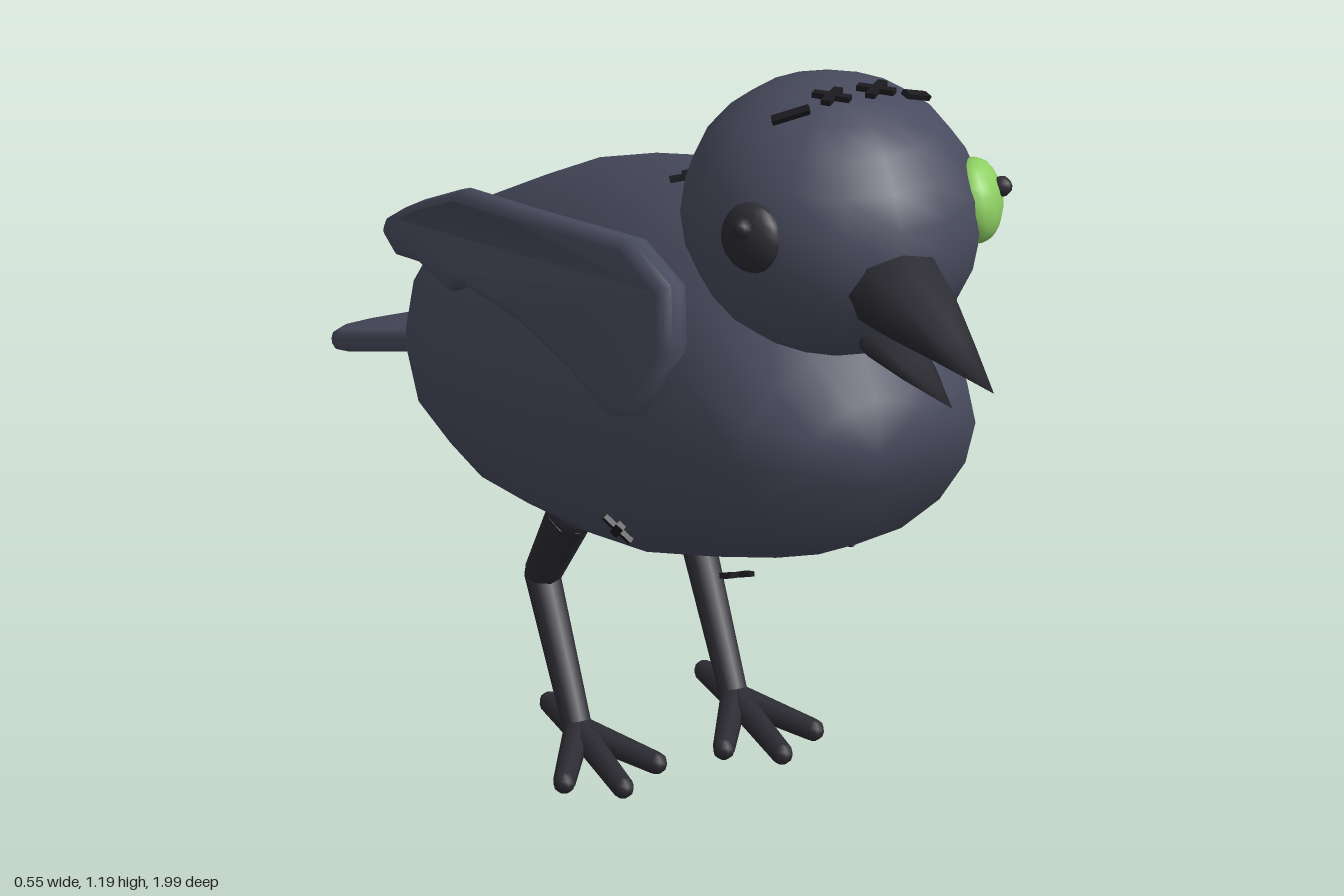
import * as THREE from 'three';
import { mergeVertices, toCreasedNormals } from 'three/addons/utils/BufferGeometryUtils.js';

const V = (x, y, z) => new THREE.Vector3(x, y, z);
const material = (name, color) => {
  const m = new THREE.MeshStandardMaterial({ color });
  m.name = name;
  return m;
};

// Closed elliptical loft from rows of [z, top, bottom, halfWidth], front to back
function loft(rows, sides) {
  const pos = [], idx = [];
  rows.forEach(([z, top, bottom, w], i) => {
    for (let j = 0; j < sides; j++) {
      const a = (j / sides) * Math.PI * 2;
      pos.push(w * Math.cos(a), (top + bottom) / 2 + ((top - bottom) / 2) * Math.sin(a), z);
      if (i === rows.length - 1) continue;
      const p = i * sides + j, q = i * sides + ((j + 1) % sides);
      idx.push(p, p + sides, q, q, p + sides, q + sides);
    }
  });
  let g = new THREE.BufferGeometry();
  g.setAttribute('position', new THREE.Float32BufferAttribute(pos, 3));
  g.setIndex(idx);
  g = mergeVertices(g);
  g.computeVertexNormals();
  return g;
}

// Softly bevelled plate from an outline
function plate(points, depth, bevel) {
  const shape = new THREE.Shape(points.map(([x, y]) => new THREE.Vector2(x, y)));
  const g = new THREE.ExtrudeGeometry(shape, {
    depth, bevelEnabled: true, bevelThickness: bevel, bevelSize: bevel, bevelOffset: -bevel, bevelSegments: 2,
  });
  return g.translate(0, 0, -depth / 2);
}

export function createModel() {
  const bird = new THREE.Group();
  bird.name = 'bird';
  const feather = material('slate feathers', 0x494c5f);
  const dark = material('charcoal', 0x2c2c33);
  const green = material('green button', 0x8ed062);
  const thread = material('black thread', 0x1b1b20);

  function add(name, geometry, mat, parent = bird) {
    const mesh = new THREE.Mesh(geometry, mat);
    mesh.name = name;
    parent.add(mesh);
    return mesh;
  }

  // Rounded limb between two points
  function limb(name, a, b, r0, r1, parent) {
    const dir = b.clone().sub(a);
    const mesh = add(name, new THREE.CylinderGeometry(r1, r0, dir.length(), 8), dark, parent);
    mesh.position.copy(a).add(b).multiplyScalar(0.5);
    mesh.quaternion.setFromUnitVectors(V(0, 1, 0), dir.normalize());
    const cap = add(name + 'End', new THREE.SphereGeometry(r1, 8, 6), dark, parent);
    cap.position.copy(b);
  }

  // Body and head
  add('body', loft([
    [0.70, 0.74, 0.74, 0], [0.69, 0.81, 0.69, 0.09], [0.64, 0.87, 0.59, 0.165], [0.53, 0.93, 0.525, 0.205],
    [0.40, 0.965, 0.46, 0.23], [0.20, 0.945, 0.375, 0.263], [0, 0.89, 0.315, 0.275],
    [-0.20, 0.81, 0.27, 0.262], [-0.40, 0.71, 0.242, 0.222], [-0.52, 0.64, 0.262, 0.178],
    [-0.585, 0.585, 0.31, 0.135], [-0.615, 0.53, 0.38, 0.08], [-0.62, 0.46, 0.46, 0],
  ], 16), feather);
  const head = add('head', new THREE.SphereGeometry(1, 16, 12), feather);
  head.scale.set(0.187, 0.175, 0.203);
  head.position.set(0, 1.013, 0.553);

  // Open beak
  add('upperBeak', loft([
    [1, 0.952, 0.952, 0], [0.9, 0.985, 0.945, 0.027], [0.8, 1.02, 0.935, 0.053],
    [0.73, 1.038, 0.93, 0.066], [0.68, 1.03, 0.94, 0.05], [0.66, 0.985, 0.985, 0],
  ], 8), dark);
  add('lowerBeak', loft([
    [0.895, 0.888, 0.888, 0], [0.8, 0.91, 0.885, 0.025], [0.72, 0.924, 0.884, 0.04], [0.64, 0.91, 0.91, 0],
  ], 8), dark);

  // Button eyes, one green and one dark
  function eye(name, side, mat, size, thick) {
    const g = new THREE.Group();
    g.name = name;
    g.lookAt(side * 0.8, 0.12, 0.48);
    g.position.set(side * 0.152, 1.04, 0.648);
    add('button', new THREE.SphereGeometry(1, 14, 10), mat, g).scale.set(size, size, thick);
    const pupil = add('pupil', new THREE.SphereGeometry(0.013, 8, 6), dark, g);
    pupil.position.set(0, 0.016, thick);
    bird.add(g);
  }
  eye('leftEye', 1, green, 0.054, 0.034);
  eye('rightEye', -1, dark, 0.044, 0.024);

  // Wings: outline in (-z, y), bent around the flanks
  const wingOutline = [
    [-0.48, 0.915], [-0.505, 0.83], [-0.465, 0.735], [-0.40, 0.71], [-0.30, 0.733], [-0.15, 0.745],
    [0.05, 0.72], [0.10, 0.69], [0.25, 0.67], [0.40, 0.62], [0.52, 0.603], [0.515, 0.635],
    [0.42, 0.685], [0.30, 0.745], [0.12, 0.83], [-0.10, 0.885], [-0.38, 0.943],
  ];
  for (const side of [1, -1]) {
    const g = plate(wingOutline, 0.012, 0.014).rotateY(Math.PI / 2);
    const p = g.attributes.position;
    for (let i = 0; i < p.count; i++) {
      const y = p.getY(i), z = p.getZ(i);
      const bend = 0.247 - 0.2 * z * z - 0.05 * Math.max(0, -z) + 0.15 * (0.78 - y);
      p.setX(i, p.getX(i) + side * bend);
    }
    add(side > 0 ? 'leftWing' : 'rightWing', toCreasedNormals(g, 0.95), feather);
  }

  // Paddle tail sloping down behind
  const half = [[0.12, 0], [0.135, 0.1], [0.172, 0.3], [0.168, 0.35], [0.13, 0.425], [0.07, 0.462]];
  const tailOutline = [...half, ...half.map(([x, y]) => [-x, y]).reverse()];
  const tail = add('tail', toCreasedNormals(plate(tailOutline, 0.008, 0.013), 0.95), feather);
  tail.rotation.x = -Math.PI / 2 - 0.36;
  tail.position.set(0, 0.4, -0.56);

  // Legs with three front toes and one back toe
  for (const side of [1, -1]) {
    const leg = new THREE.Group();
    leg.name = side > 0 ? 'leftLeg' : 'rightLeg';
    leg.position.x = side * 0.122;
    const hip = V(0, 0.36, -0.02), knee = V(0, 0.215, -0.13), ankle = V(0, 0.028, 0);
    add('hip', new THREE.SphereGeometry(0.034, 8, 6), dark, leg).position.copy(hip);
    limb('thigh', hip, knee, 0.034, 0.027, leg);
    limb('shin', knee, ankle, 0.027, 0.022, leg);
    for (const [x, z] of [[0, 0.165], [0.07, 0.12], [-0.07, 0.12], [0, -0.105]])
      limb('toe', ankle, V(x, 0.018, z), 0.02, 0.016, leg);
    bird.add(leg);
  }

  // Stitches: crossed threads lying on the surface, and two single ones on the head
  function stitch(position, normal, angles) {
    const g = new THREE.Group();
    g.name = 'stitch';
    g.lookAt(normal);
    g.position.copy(position);
    for (const a of angles)
      add('thread', new THREE.BoxGeometry(0.048, 0.012, 0.007), thread, g).rotation.z = a;
    bird.add(g);
  }
  const cross = [Math.PI / 4, -Math.PI / 4];
  const up = V(0, 1, 0.01);
  stitch(V(-0.03, 1.192, 0.61), up, cross);
  stitch(V(0.03, 1.192, 0.61), up, cross);
  stitch(V(-0.085, 1.176, 0.61), V(-0.5, 1, 0.2), [Math.PI / 4]);
  stitch(V(0.085, 1.176, 0.61), V(0.5, 1, 0.2), [-Math.PI / 4]);
  stitch(V(-0.05, 0.945, 0.22), V(-0.1, 1, -0.2), cross);
  stitch(V(0.13, 0.915, 0.23), V(0.4, 1, -0.1), cross);
  stitch(V(0.252, 0.785, 0.285), V(1, 0.15, 0.15), cross);
  stitch(V(0.25, 0.60, 0.345), V(1, -0.15, 0.2), cross);
  stitch(V(0.135, 0.46, 0.38), V(0.6, -1, 0.4), cross);
  stitch(V(-0.05, 0.438, 0.385), V(-0.1, -1, 0.45), cross);
  stitch(V(-0.21, 0.525, 0.36), V(-1, -0.6, 0.3), cross);
  return bird;
}
